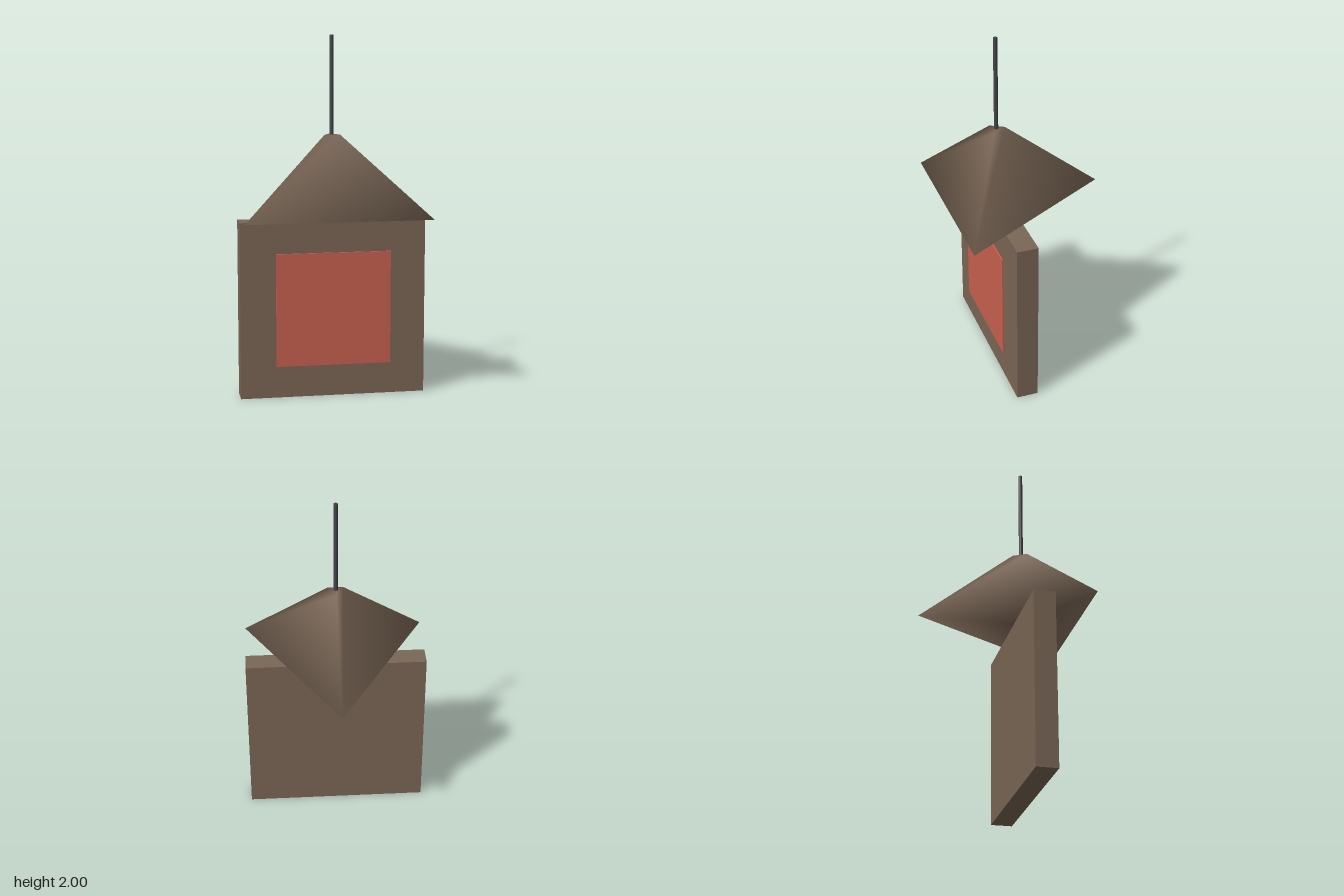
import * as THREE from 'three';
import { mergeVertices } from 'three/addons/utils/BufferGeometryUtils.js';

const AXIS_Z = 0.148; // shared vertical axis of board, roof and pole

export function createModel() {
  const model = new THREE.Group();
  const brown = new THREE.MeshStandardMaterial({ color: 0x7a6655 });
  const red = new THREE.MeshStandardMaterial({ color: 0xc8604f });
  const dark = new THREE.MeshStandardMaterial({ color: 0x44444a });

  const add = (name, geometry, material, y, z) => {
    const mesh = new THREE.Mesh(geometry, material);
    mesh.name = name;
    mesh.position.set(0, y, z);
    model.add(mesh);
  };

  // Upright board and the thin panel floating just ahead of it
  add('board', new THREE.BoxGeometry(1.034, 0.99, 0.122), brown, 0.495, AXIS_Z);
  add('frontPanel', new THREE.BoxGeometry(0.64, 0.635, 0.008), red, 0.4975, 0.224);

  // Three-sided roof with one corner to the back, smooth across all its edges
  const frustum = new THREE.CylinderGeometry(0.05, 0.593, 0.44, 3);
  frustum.rotateY(Math.PI);
  frustum.deleteAttribute('normal');
  frustum.deleteAttribute('uv');
  const roof = mergeVertices(frustum, 1e-4);
  roof.computeVertexNormals();
  add('roof', roof, brown, 1.24, AXIS_Z);

  // Thin pole rising from the roof tip
  add('pole', new THREE.CylinderGeometry(0.012, 0.012, 0.56, 12), dark, 1.72, AXIS_Z);

  return model;
}
